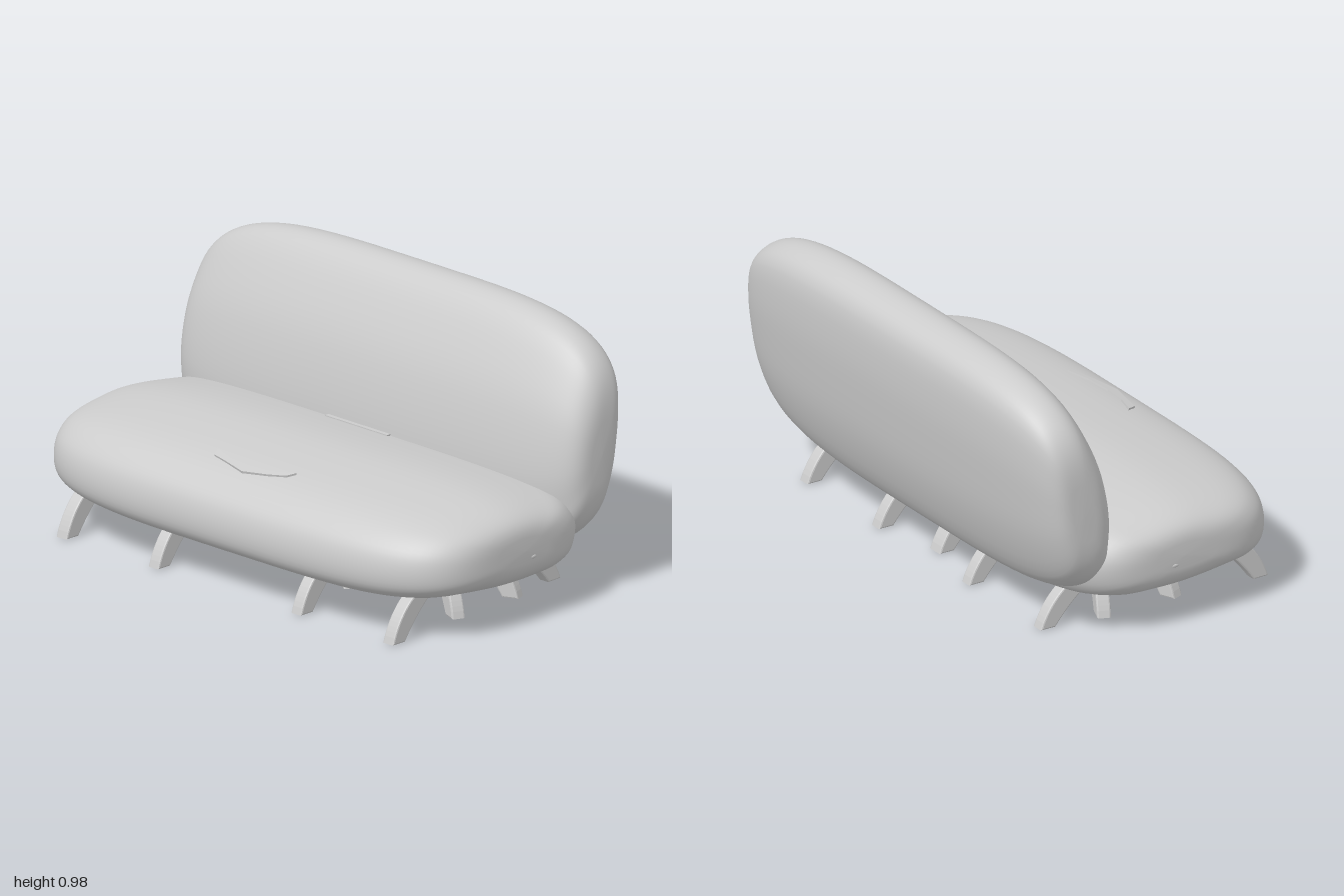
import * as THREE from 'three';

const material = new THREE.MeshStandardMaterial({ color: 0xcccccc });

function addMesh(parent, name, geometry) {
  const mesh = new THREE.Mesh(geometry, material);
  mesh.name = name;
  parent.add(mesh);
  return mesh;
}

// Plump cushion: a closed side profile of [z, y] points, shrunk toward its
// centre along x by a superellipse so that both ends are rounded.
function cushion(profile, [cz, cy], halfWidth, power) {
  const curve = new THREE.CatmullRomCurve3(
    profile.map(([z, y]) => new THREE.Vector3(0, y, z)), true, 'centripetal');
  const around = 64, along = 48;
  const ring = curve.getPoints(around).slice(0, around);
  const positions = [], index = [];
  for (let i = 0; i <= along; i++) {
    const a = (i / along - 0.5) * Math.PI;
    const x = Math.sign(a) * halfWidth * Math.abs(Math.sin(a)) ** (2 / power);
    const f = Math.max(0, Math.cos(a)) ** (2 / power);
    for (const p of ring) positions.push(x, cy + (p.y - cy) * f, cz + (p.z - cz) * f);
  }
  for (let i = 0; i < along; i++) {
    for (let j = 0; j < around; j++) {
      const k = (j + 1) % around;
      const a = i * around + j, b = i * around + k;
      const c = a + around, d = b + around;
      index.push(a, c, b, b, c, d);
    }
  }
  const geometry = new THREE.BufferGeometry();
  geometry.setAttribute('position', new THREE.Float32BufferAttribute(positions, 3));
  geometry.setIndex(index);
  geometry.computeVertexNormals();
  return geometry;
}

// Curved leg: foot tip at the origin, sweeping up and inward along -x
function legGeometry(reach, width) {
  const s = new THREE.Shape();
  s.moveTo(-0.006, 0.006);
  s.quadraticCurveTo(-0.2 * reach, 0.1, -0.55 * reach, 0.15);
  s.lineTo(-reach, 0.15);
  s.quadraticCurveTo(-0.055 - 0.35 * reach, 0.1, -0.056, 0.006);
  const bevel = 0.006;
  const geometry = new THREE.ExtrudeGeometry(s, {
    depth: width - 2 * bevel, bevelEnabled: true, bevelSize: bevel,
    bevelThickness: bevel, bevelSegments: 2, curveSegments: 10,
  });
  geometry.translate(0, 0, bevel - width / 2);
  return geometry;
}

export function createModel() {
  const model = new THREE.Group();

  // Seat
  addMesh(model, 'seat', cushion([
    [0.56, 0.25], [0.54, 0.33], [0.48, 0.39], [0.4, 0.425], [0.25, 0.452],
    [0.06, 0.465], [-0.16, 0.44], [-0.32, 0.4], [-0.41, 0.3], [-0.38, 0.16],
    [-0.27, 0.105], [-0.1, 0.09], [0.1, 0.09], [0.35, 0.115], [0.49, 0.14], [0.545, 0.18],
  ], [0.04, 0.275], 1, 4));

  // Reclined backrest
  addMesh(model, 'backrest', cushion([
    [-0.16, 0.44], [-0.2, 0.66], [-0.26, 0.81], [-0.345, 0.945], [-0.4, 0.978],
    [-0.46, 0.977], [-0.52, 0.945], [-0.55, 0.89], [-0.557, 0.75], [-0.54, 0.58],
    [-0.5, 0.37], [-0.425, 0.19], [-0.36, 0.135], [-0.27, 0.115], [-0.19, 0.16], [-0.165, 0.28],
  ], [-0.37, 0.52], 0.975, 4));

  // Stitched fold on the front of the seat
  const fold = new THREE.Shape([
    [-0.19, 0.01], [-0.17, -0.03], [-0.1, -0.045], [0, -0.07], [0.1, -0.045],
    [0.17, -0.02], [0.19, 0.01], [0.1, -0.02], [0, -0.03], [-0.1, -0.02],
  ].map(([x, y]) => new THREE.Vector2(x, y)));
  const foldMesh = addMesh(model, 'seatFold',
    new THREE.ExtrudeGeometry(fold, { depth: 0.012, bevelEnabled: false }));
  foldMesh.position.set(0, 0.43, 0.36);
  foldMesh.rotation.x = -Math.PI / 2 + 0.25;

  // Small tab where seat and back meet
  addMesh(model, 'seamTab', new THREE.BoxGeometry(0.3, 0.016, 0.04)).position.set(0, 0.438, -0.165);

  // Stud on each end of the seat
  for (const side of [-1, 1]) {
    const stud = addMesh(model, 'sideStud', new THREE.SphereGeometry(1, 12, 8));
    stud.scale.set(0.006, 0.008, 0.016);
    stud.position.set(side * 0.996, 0.245, 0);
  }

  // Legs: [name, foot x, foot z, outward x, outward z, reach, width]
  const legs = [
    ['frontOuterLeg', 0.79, 0.515, 0, 1, 0.19, 0.052],
    ['frontInnerLeg', 0.345, 0.515, 0, 1, 0.19, 0.05],
    ['rearOuterLeg', 0.725, -0.395, 0, -1, 0.22, 0.05],
    ['rearInnerLeg', 0.28, -0.395, 0, -1, 0.22, 0.05],
    ['sideFrontLeg', 0.785, 0.155, 1, 0.4, 0.16, 0.05],
    ['sideRearLeg', 0.785, -0.155, 1, -0.4, 0.16, 0.05],
    ['centreFrontLeg', 0.3, 0.185, 1, 0.5, 0.22, 0.065],
  ];
  const addLeg = (name, x, z, dx, dz, reach, width) => {
    const leg = addMesh(model, name, legGeometry(reach, width));
    leg.position.set(x, 0, z);
    leg.rotation.y = Math.atan2(-dz, dx);
  };
  for (const [name, x, z, dx, dz, reach, width] of legs) {
    for (const side of [-1, 1]) addLeg(name, side * x, z, side * dx, dz, reach, width);
  }
  addLeg('centreRearLeg', 0, -0.335, 0, -1, 0.22, 0.065);

  return model;
}
